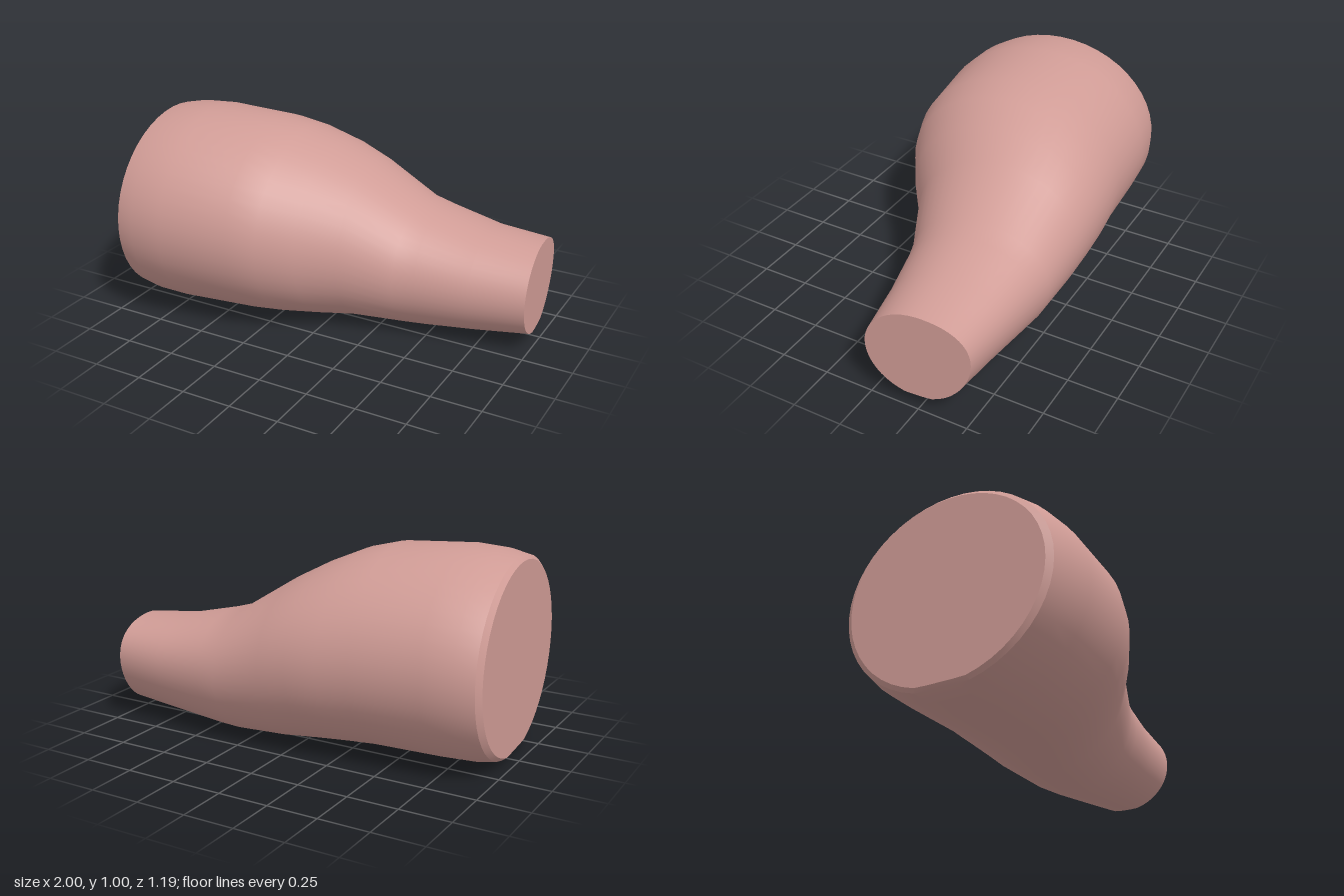
import * as THREE from 'three';
import { toCreasedNormals } from 'three/addons/utils/BufferGeometryUtils.js';

const SEGMENTS = 48;

// Cross-sections from the wide end to the narrow end:
// [back x, back z, front x, front z, bottom y, top y, lift of the back side]
const SECTIONS = [
  [-1.0, -0.48, -0.935, 0.54, 0.045, 0.945, 0],
  [-0.98, -0.515, -0.915, 0.57, 0.03, 0.965, 0],
  [-0.89, -0.545, -0.82, 0.59, 0.015, 0.985, 0],
  [-0.74, -0.56, -0.66, 0.588, 0.01, 0.995, 0],
  [-0.4, -0.58, -0.31, 0.54, 0.015, 0.975, 0],
  [-0.24, -0.595, -0.18, 0.49, 0.014, 0.94, 0],
  [-0.08, -0.6, -0.02, 0.39, 0.01, 0.87, 0.02],
  [0.07, -0.59, 0.14, 0.27, 0.005, 0.785, 0.025],
  [0.34, -0.56, 0.38, 0.16, 0, 0.62, 0.03],
  [0.45, -0.545, 0.48, 0.13, 0.005, 0.59, 0.035],
  [0.71, -0.515, 0.73, 0.075, 0.03, 0.53, 0.04],
  [0.96, -0.5, 1.0, 0.02, 0.06, 0.505, 0.045],
];

// One tilted oval ring with a slightly flattened underside
function ringPoint([xb, zb, xf, zf, y0, y1, lift], j) {
  const a = (j / SEGMENTS) * Math.PI * 2;
  const c = Math.cos(a);
  const s = Math.sin(a);
  const t = (c + 1) / 2;
  const h = s < 0 ? Math.max(-1, s * 1.03) : s;
  const y = (y0 + y1) / 2 + (h * (y1 - y0)) / 2 + lift * Math.min(0, c) ** 2;
  return [xb + (xf - xb) * t, y, zb + (zf - zb) * t];
}

function loftGeometry() {
  const positions = [];
  const index = [];
  for (const section of SECTIONS) {
    for (let j = 0; j < SEGMENTS; j++) positions.push(...ringPoint(section, j));
  }
  const last = SECTIONS.length - 1;
  const id = (i, j) => i * SEGMENTS + (j % SEGMENTS);

  // Side wall
  for (let i = 0; i < last; i++) {
    for (let j = 0; j < SEGMENTS; j++) {
      const a = id(i, j), b = id(i + 1, j), c = id(i + 1, j + 1), d = id(i, j + 1);
      index.push(a, b, d, b, c, d);
    }
  }

  // Flat end caps
  for (const i of [0, last]) {
    const [xb, zb, xf, zf, y0, y1] = SECTIONS[i];
    const centre = positions.length / 3;
    positions.push((xb + xf) / 2, (y0 + y1) / 2, (zb + zf) / 2);
    for (let j = 0; j < SEGMENTS; j++) {
      if (i === 0) index.push(centre, id(i, j), id(i, j + 1));
      else index.push(centre, id(i, j + 1), id(i, j));
    }
  }

  const geometry = new THREE.BufferGeometry();
  geometry.setAttribute('position', new THREE.Float32BufferAttribute(positions, 3));
  geometry.setIndex(index);
  return toCreasedNormals(geometry, 0.5);
}

export function createModel() {
  const group = new THREE.Group();
  const material = new THREE.MeshStandardMaterial({ color: 0xd09c96 });
  const body = new THREE.Mesh(loftGeometry(), material);
  body.name = 'taperedBody';
  group.add(body);
  return group;
}
